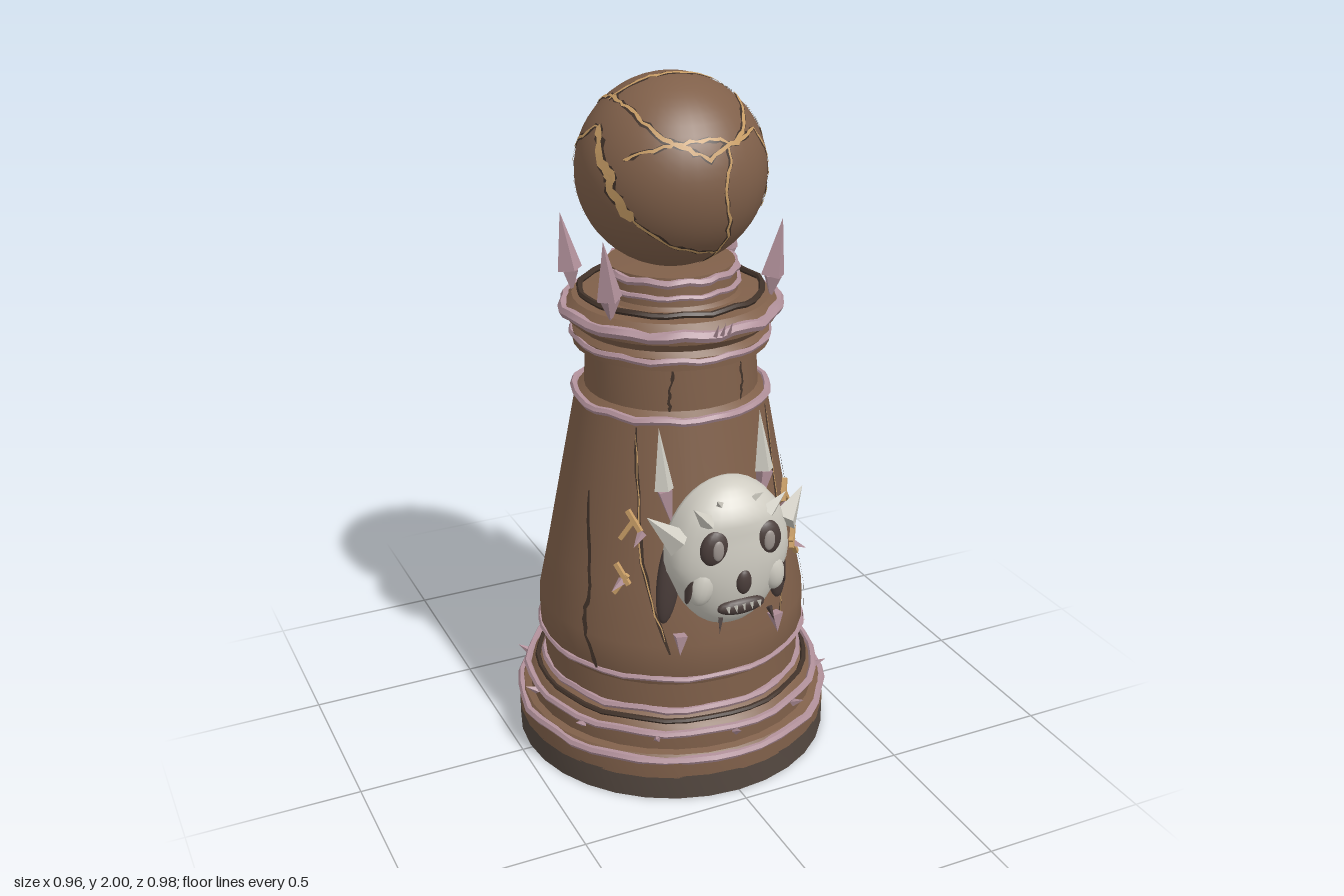
import * as THREE from 'three';
import { toCreasedNormals } from 'three/addons/utils/BufferGeometryUtils.js';

const V = (x, y, z) => new THREE.Vector3(x, y, z);

export function createModel() {
  const mat = (name, color, side = THREE.FrontSide) => {
    const m = new THREE.MeshStandardMaterial({ color, side });
    m.name = name;
    return m;
  };
  const wood = mat('brown wood', 0x80604a);
  const plinthMat = mat('dark plinth', 0x544840);
  const pink = mat('dusty pink', 0xb3929c);
  const bone = mat('bone', 0xcfccc2);
  const gold = mat('gold', 0xc99e66, THREE.DoubleSide);
  const dark = mat('dark crack', 0x42332a, THREE.DoubleSide);
  const socket = mat('socket', 0x4a3d3a);
  const pupil = mat('pupil grey', 0x9a918c);

  let seed = 7;
  const rand = () => ((seed = (seed * 16807) % 2147483647) / 2147483647) * 2 - 1;

  const root = new THREE.Group();
  root.name = 'pawn';
  const column = new THREE.Group();
  column.name = 'column';
  column.position.z = -0.015;
  const skull = new THREE.Group();
  skull.name = 'skull';
  root.add(column, skull);

  const add = (parent, name, geo, material) => {
    const m = new THREE.Mesh(geo, material);
    m.name = name;
    parent.add(m);
    return m;
  };
  const lathe = (name, pts, material) => add(column, name,
    toCreasedNormals(new THREE.LatheGeometry(pts.map(p => new THREE.Vector2(...p)), 32), 0.5), material);

  // slightly lumpy band round the column
  const band = (name, r, y, tube, material = pink) => {
    const g = new THREE.TorusGeometry(r, tube, 6, 40).rotateX(Math.PI / 2);
    const p = g.attributes.position;
    for (let i = 0; i < p.count; i++) {
      const a = Math.atan2(p.getZ(i), p.getX(i));
      const k = 1 + 0.2 * tube * (Math.sin(a * 9 + y * 40) + Math.sin(a * 14 + y * 17)) / r;
      p.setXYZ(i, p.getX(i) * k, p.getY(i) + 0.3 * tube * Math.sin(a * 11 + y * 9), p.getZ(i) * k);
    }
    add(column, name, toCreasedNormals(g, 0.9), material).position.y = y;
  };

  // faceted spike from a base point to a tip
  const spike = (parent, name, material, from, to, r) => {
    const d = to.clone().sub(from);
    const m = add(parent, name, toCreasedNormals(new THREE.ConeGeometry(r, d.length(), 4), 0.1), material);
    m.position.copy(from).addScaledVector(d, 0.5);
    m.quaternion.setFromUnitVectors(V(0, 1, 0), d.normalize());
  };
  const ball = (parent, name, material, [x, y, z], [sx, sy, sz], rot = 0) => {
    const m = add(parent, name, new THREE.SphereGeometry(1, 16, 12), material);
    m.position.set(x, y, z);
    m.scale.set(sx, sy, sz);
    m.rotation.z = rot;
  };

  // jagged strip along points that carry a surface normal
  const strip = (name, pts, width, lift, material) => {
    const pos = [], idx = [];
    pts.forEach(({ p, n }, i) => {
      const t = pts[Math.min(i + 1, pts.length - 1)].p.clone().sub(pts[Math.max(i - 1, 0)].p);
      const s = V().crossVectors(n, t).normalize();
      const end = i === 0 || i === pts.length - 1 ? 0.5 : 1;
      for (const k of [1, -1]) {
        const q = p.clone().addScaledVector(n, lift).addScaledVector(s, k * width * end * (1 + 0.5 * rand()));
        pos.push(q.x, q.y, q.z);
      }
      if (i) idx.push(2 * i - 2, 2 * i - 1, 2 * i, 2 * i, 2 * i - 1, 2 * i + 1);
    });
    const g = new THREE.BufferGeometry();
    g.setAttribute('position', new THREE.Float32BufferAttribute(pos, 3));
    g.setIndex(idx);
    g.computeVertexNormals();
    add(column, name, g, material);
  };

  // plinth, stepped foot, tapering body and collar
  lathe('plinth', [[0, 0], [0.47, 0], [0.47, 0.075], [0, 0.075]], plinthMat);
  lathe('foot', [[0.47, 0.07], [0.47, 0.12], [0.455, 0.14], [0.435, 0.145], [0.435, 0.19],
    [0.42, 0.21], [0.41, 0.22], [0.385, 0.235], [0.385, 0.34]], wood);
  lathe('body', [[0.385, 0.33], [0.398, 0.37], [0.397, 0.46], [0.365, 0.62], [0.275, 1.1], [0.25, 1.12],
    [0.243, 1.25]], wood);
  lathe('collar', [[0.243, 1.24], [0.28, 1.25], [0.28, 1.285], [0.265, 1.3], [0.3, 1.33], [0.305, 1.36],
    [0.28, 1.385], [0.2, 1.39], [0.19, 1.4], [0.18, 1.48], [0, 1.49]], wood);

  // pink and dark bands
  [[0.463, 0.125, 0.013], [0.438, 0.2, 0.011], [0.385, 0.245, 0.012], [0.396, 0.355, 0.009],
    [0.277, 1.1, 0.012], [0.277, 1.275, 0.011], [0.302, 1.355, 0.017], [0.183, 1.465, 0.012]]
    .forEach(([r, y, t], i) => band('pinkBand' + (i + 1), r, y, t));
  band('footGroove', 0.408, 0.225, 0.008, dark);
  band('collarGroove', 0.258, 1.4, 0.009, dark);
  band('collarFineBand', 0.192, 1.425, 0.008);

  // crown spikes, open at the front
  for (let i = 1; i < 6; i++) {
    const a = i * Math.PI / 3, s = Math.sin(a), c = Math.cos(a);
    spike(column, 'crownSpike', pink, V(s * 0.285, 1.44, c * 0.285), V(s * 0.31, 1.605, c * 0.31), 0.037);
    spike(column, 'crownSpikeRoot', pink, V(s * 0.285, 1.44, c * 0.285), V(s * 0.28, 1.37, c * 0.28), 0.03);
  }
  for (const x of [-0.02, 0, 0.02])
    spike(column, 'frontThorn', pink, V(x, 1.36, 0.325), V(x, 1.4, 0.345), 0.007);

  // small thorns round the foot
  for (let i = 0; i < 12; i++) {
    const a = i * Math.PI / 6, s = Math.sin(a), c = Math.cos(a);
    spike(column, 'footThorn', pink, V(s * 0.44, 0.185, c * 0.44), V(s * 0.478, 0.207, c * 0.478), 0.012);
  }

  // ball
  const R = 0.265, Y = 1.735;
  add(column, 'ball', new THREE.SphereGeometry(R, 40, 28), wood).position.y = Y;

  // ball cracks: points on the unit disc facing (azimuth, elevation)
  const ballCrack = (az, el, w, pts) => {
    const rot = new THREE.Euler(-el, az, 0, 'YXZ');
    const dirs = pts.map(([x, y]) => V(x, y, Math.sqrt(Math.max(0, 1 - x * x - y * y))).normalize().applyEuler(rot));
    const path = [];
    for (let i = 0; i + 1 < dirs.length; i++) {
      const n = Math.max(3, Math.ceil(dirs[i].distanceTo(dirs[i + 1]) / 0.07));
      for (let k = i ? 1 : 0; k <= n; k++) {
        const d = dirs[i].clone().lerp(dirs[i + 1], k / n);
        d.add(V(rand(), rand(), rand()).multiplyScalar(0.02)).normalize();
        path.push({ p: d.clone().multiplyScalar(R).add(V(0, Y, 0)), n: d });
      }
    }
    strip('ballCrackEdge', path, w + 0.003, 0.0015, dark);
    strip('ballCrack', path, w, 0.0035, gold);
  };
  const H = Math.PI / 2, T = Math.PI * 2 / 3;
  // oval crack round the top, then its branches
  ballCrack(0, H, 0.005, Array.from({ length: 13 }, (_, i) => {
    const a = i * Math.PI / 6, r = 0.78 - 0.17 * Math.cos(2 * a);
    return [r * Math.cos(a), r * Math.sin(a)];
  }));
  ballCrack(0, H, 0.007, [[-0.65, 0.05], [-0.05, -0.08], [0.58, -0.08]]);
  ballCrack(0, H, 0.014, [[0.42, 0.45], [0.55, 0.62], [0.74, 0.62]]);
  ballCrack(0, 0, 0.004, [[-0.78, 0.3], [-0.06, 0.5], [0.32, 0.42], [0.62, 0.5]]);
  ballCrack(0, 0, 0.004, [[0.22, 0.42], [0.14, -0.04], [0.26, -0.54], [0.12, -0.92]]);
  ballCrack(0, 0, 0.014, [[-0.9, 0.15], [-0.84, -0.1], [-0.7, -0.3]]);
  ballCrack(0, 0, 0.004, [[-0.7, -0.3], [-0.18, -0.64], [0.22, -0.7]]);
  ballCrack(0, 0, 0.004, [[0.62, 0.5], [0.82, 0.16], [0.8, -0.4]]);
  ballCrack(H, 0, 0.004, [[-0.28, 0.66], [-0.18, 0.02], [-0.34, -0.44], [-0.28, -0.84]]);
  ballCrack(H, 0, 0.007, [[-0.18, 0.02], [0.58, 0], [0.62, 0.46]]);
  ballCrack(-T, 0.43, 0.004, [[-0.87, 0.18], [-0.49, -0.22], [0.13, -0.18], [0.51, 0.22]]);
  ballCrack(-T, 0.43, 0.004, [[0.13, -0.18], [0.24, -0.78]]);
  ballCrack(-T, 0.43, 0.014, [[0.51, 0.22], [0.7, 0], [0.88, -0.1]]);
  ballCrack(T, -0.43, 0.01, [[-0.9, -0.15], [-0.45, 0.35], [0, 0.55]]);
  ballCrack(T, -0.43, 0.012, [[-0.2, 0.1], [0.15, 0.1], [0.1, -0.25]]);
  ballCrack(T, -0.43, 0.004, [[0, 0.5], [0.75, 0.45], [0.95, 0.05]]);

  // body cracks given as [angle from front, height]
  const bodyR = y => y > 1.11 ? 0.25 : y > 0.62 ? 0.365 - (y - 0.62) * 0.1875 : y > 0.46 ? 0.397 - (y - 0.46) * 0.2 : 0.398;
  const bodyCrack = (w, material, pts) => {
    const path = [];
    for (let i = 0; i + 1 < pts.length; i++) for (let k = i ? 1 : 0; k <= 6; k++) {
      const a = THREE.MathUtils.lerp(pts[i][0], pts[i + 1][0], k / 6) + rand() * 0.012;
      const y = THREE.MathUtils.lerp(pts[i][1], pts[i + 1][1], k / 6), r = bodyR(y);
      path.push({ p: V(Math.sin(a) * r, y, Math.cos(a) * r), n: V(Math.sin(a), 0.15, Math.cos(a)) });
    }
    strip('bodyCrack', path, w, material === gold ? 0.007 : 0.005, material);
  };
  for (const s of [-1, 1]) {
    bodyCrack(0.006, dark, [[s * 1.23, 0.87], [s * 1.1, 0.6], [s * 1.12, 0.5], [s * 1.0, 0.36]]);
    bodyCrack(0.005, dark, [[s * 0.77, 1.08], [s * 0.67, 0.7], [s * 0.45, 0.44]]);
    bodyCrack(0.002, gold, [[s * 0.77, 1.06], [s * 0.67, 0.7], [s * 0.48, 0.48]]);
    bodyCrack(0.004, dark, [[s * 0.42, 1.24], [s * 0.45, 1.17], [s * 0.44, 1.12]]);
  }

  // skull: rounded cranium narrowing to a flat-fronted jaw
  const sg = new THREE.SphereGeometry(1, 28, 22);
  const sp = sg.attributes.position;
  for (let i = 0; i < sp.count; i++) {
    const y = sp.getY(i), z = sp.getZ(i);
    const brow = 0.012 * Math.exp(-((y - 0.62) ** 2) * 40);
    const cheek = y < -0.1 ? 1 - 0.1 * Math.sin((-y - 0.1) * 3) : 1;
    sp.setXYZ(i, sp.getX(i) * 0.185 * cheek, y * 0.222, z > 0 ? Math.pow(z, 0.75) * (0.128 + brow) : z * 0.07);
  }
  sg.computeVertexNormals();
  add(skull, 'cranium', sg, bone).position.set(0, 0.738, 0.335);

  ball(skull, 'nose', socket, [0, 0.69, 0.46], [0.023, 0.037, 0.014]);
  ball(skull, 'mouth', socket, [0, 0.61, 0.445], [0.073, 0.025, 0.022]);
  for (let i = -2; i <= 2; i++)
    spike(skull, 'tooth', bone, V(i * 0.024, 0.622, 0.462), V(i * 0.024, 0.603, 0.47), 0.007);

  for (const s of [-1, 1]) {
    // face
    ball(skull, 'eyeSocket', socket, [s * 0.078, 0.8, 0.437], [0.045, 0.055, 0.024], s * 0.2);
    ball(skull, 'pupil', pupil, [s * 0.078, 0.8, 0.458], [0.017, 0.03, 0.007]);
    ball(skull, 'cheek', bone, [s * 0.105, 0.685, 0.415], [0.04, 0.065, 0.035], s * 0.25);
    ball(skull, 'cheekGroove', socket, [s * 0.142, 0.68, 0.41], [0.007, 0.05, 0.02], s * 0.2);
    ball(skull, 'skullBacking', socket, [s * 0.165, 0.67, 0.325], [0.035, 0.14, 0.022], s * 0.12);
    // horns and spikes
    spike(skull, 'tallHorn', bone, V(s * 0.155, 0.92, 0.275), V(s * 0.155, 1.09, 0.24), 0.029);
    spike(skull, 'hornRoot', pink, V(s * 0.155, 0.92, 0.275), V(s * 0.135, 0.81, 0.285), 0.026);
    spike(skull, 'templeSpike', bone, V(s * 0.16, 0.81, 0.39), V(s * 0.24, 0.885, 0.345), 0.042);
    spike(skull, 'browSpike', bone, V(s * 0.09, 0.87, 0.42), V(s * 0.14, 0.925, 0.43), 0.026);
    spike(skull, 'crownBump', bone, V(s * 0.04, 0.9, 0.4), V(s * 0.07, 0.935, 0.43), 0.02);
    spike(skull, 'jawSpike', pink, V(s * 0.15, 0.51, 0.37), V(s * 0.155, 0.45, 0.38), 0.024);
    spike(skull, 'fang', socket, V(s * 0.075, 0.6, 0.47), V(s * 0.085, 0.56, 0.485), 0.009);
    // gold hooks and thorns beside the skull
    for (const [x, y, z, r] of [[0.235, 0.83, 0.25, 0.5], [0.25, 0.8, 0.235, -0.7], [0.27, 0.67, 0.245, 0.5], [0.275, 0.64, 0.245, -0.7]]) {
      const m = add(skull, 'goldHook', new THREE.BoxGeometry(0.013, 0.07, 0.013), gold);
      m.position.set(s * x, y, z);
      m.rotation.set(-0.2, s * 0.8, s * -r);
    }
    spike(skull, 'sideThorn', pink, V(s * 0.27, 0.65, 0.245), V(s * 0.31, 0.63, 0.26), 0.014);
    spike(skull, 'sideThorn', pink, V(s * 0.22, 0.8, 0.27), V(s * 0.255, 0.77, 0.29), 0.014);
  }
  return root;
}
